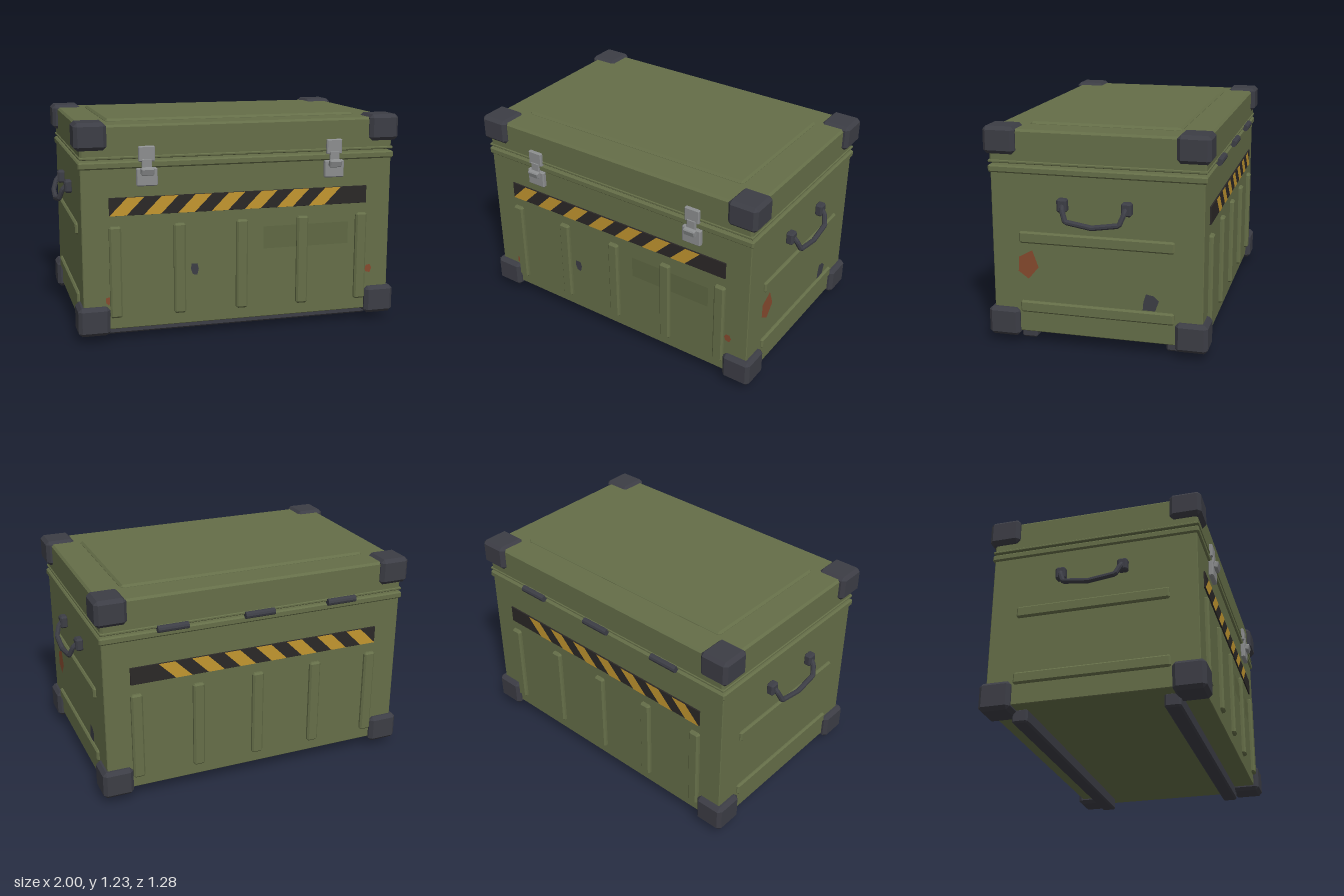
import * as THREE from 'three';
import { ConvexGeometry } from 'three/addons/geometries/ConvexGeometry.js';

const paint = (color, side = THREE.FrontSide) =>
  new THREE.MeshStandardMaterial({ color, side, flatShading: true });
const olive = paint(0x656e48), dark = paint(0x3c3d45), metal = paint(0x8c8e8f), black = paint(0x2b2827);
const yellow = paint(0xc2962f, THREE.DoubleSide), rust = paint(0x864a2e, THREE.DoubleSide);
const chip = paint(0x3c3d45, THREE.DoubleSide), faded = paint(0x5f6843, THREE.DoubleSide);

const CZ = -0.009; // depth centre of the case
const HX = 0.91, HZ = 0.591; // half size of the case

// Box with chamfered edges, given by its limits on each axis
function block(name, [x0, x1], [y0, y1], [z0, z1], c, material) {
  const half = [(x1 - x0) / 2, (y1 - y0) / 2, (z1 - z0) / 2];
  const points = [];
  for (const sx of [-1, 1]) for (const sy of [-1, 1]) for (const sz of [-1, 1]) {
    for (let full = 0; full < 3; full++) {
      const p = half.map((h, i) => (i === full ? h : h - c));
      points.push(new THREE.Vector3(p[0] * sx, p[1] * sy, p[2] * sz));
    }
  }
  const mesh = new THREE.Mesh(new ConvexGeometry(points), material);
  mesh.position.set((x0 + x1) / 2, (y0 + y1) / 2, (z0 + z1) / 2);
  mesh.name = name;
  return mesh;
}

const span = (centre, half) => [centre - half, centre + half];
const side = (s, a, b, centre = 0) => [centre + s * a, centre + s * b].sort((p, q) => p - q);

// Flat painted patch
function patch(name, corners, material) {
  const shape = new THREE.Shape(corners.map(([x, y]) => new THREE.Vector2(x, y)));
  const mesh = new THREE.Mesh(new THREE.ShapeGeometry(shape), material);
  mesh.name = name;
  return mesh;
}

function buildHandle(s) {
  const handle = new THREE.Group();
  handle.name = s > 0 ? 'leftHandle' : 'rightHandle';
  for (const e of [-1, 1]) {
    handle.add(block('handleMount', side(s, 0.905, 0.952), [0.785, 0.86], span(CZ + e * 0.178, 0.029), 0.01, dark));
  }
  const grip = [[0.94, 0.825, 0.175], [0.962, 0.8, 0.17], [0.98, 0.745, 0.148], [0.985, 0.723, 0],
    [0.98, 0.745, -0.148], [0.962, 0.8, -0.17], [0.94, 0.825, -0.175]]
    .map(([x, y, z]) => new THREE.Vector3(s * x, y, CZ + z));
  const path = new THREE.CurvePath();
  for (let i = 1; i < grip.length; i++) path.add(new THREE.LineCurve3(grip[i - 1], grip[i]));
  const bar = new THREE.Mesh(new THREE.TubeGeometry(path, 48, 0.015, 8), dark);
  bar.name = 'handleBar';
  handle.add(bar);
  return handle;
}

function buildLatch(x) {
  const latch = new THREE.Group();
  latch.name = 'latch';
  latch.add(block('latchPlate', span(x, 0.059), [0.88, 0.98], [0.58, 0.61], 0.006, metal));
  latch.add(block('latchKeeper', span(x, 0.046), [1.015, 1.1], [0.58, 0.607], 0.005, metal));
  latch.add(block('latchHook', span(x, 0.028), [0.95, 1.03], [0.596, 0.611], 0.003, metal));
  const lever = block('latchLever', span(x, 0.037), [0.942, 0.985], [0.605, 0.635], 0.006, metal);
  lever.rotation.x = 0.3;
  latch.add(lever);
  return latch;
}

// Dark band with slanted yellow stripes
function buildHazardBand(s) {
  const band = new THREE.Group();
  band.name = s > 0 ? 'frontHazardBand' : 'backHazardBand';
  const face = CZ + s * (HZ + 0.008);
  band.add(block('bandBase', [-0.758, 0.758], [0.718, 0.82], side(s, HZ - 0.01, HZ + 0.008, CZ), 0.001, black));
  for (let i = 0; i < 7; i++) {
    const x = -0.758 + i * 0.193;
    const stripe = patch('bandStripe', [[x, 0.719], [x + 0.096, 0.719], [x + 0.196, 0.819], [x + 0.1, 0.819]], yellow);
    stripe.position.z = face + s * 0.002;
    band.add(stripe);
  }
  return band;
}

function buildWear() {
  const wear = new THREE.Group();
  wear.name = 'paintWear';
  const front = [
    ['frontChip', [[-0.295, 0.42], [-0.262, 0.42], [-0.253, 0.39], [-0.262, 0.353], [-0.288, 0.358], [-0.299, 0.39]], chip],
    ['frontRust', [[0.775, 0.34], [0.797, 0.34], [0.808, 0.318], [0.797, 0.292], [0.772, 0.297], [0.763, 0.32]], rust],
    ['frontRust', [[-0.785, 0.255], [-0.765, 0.26], [-0.757, 0.24], [-0.768, 0.212], [-0.784, 0.225]], rust],
    ['fadedPatch', [[0.13, 0.48], [0.65, 0.48], [0.65, 0.61], [0.13, 0.61]], faded],
  ];
  for (const [name, corners, material] of front) {
    const mesh = patch(name, corners, material);
    mesh.position.z = CZ + HZ + 0.003;
    wear.add(mesh);
  }
  const flank = [
    ['sideRust', [[-0.353, 0.55], [-0.318, 0.455], [-0.377, 0.384], [-0.435, 0.425], [-0.432, 0.507]], rust],
    ['sideChip', [[0.288, 0.353], [0.329, 0.346], [0.36, 0.318], [0.339, 0.26], [0.27, 0.26], [0.274, 0.305]], chip],
  ];
  for (const [name, corners, material] of flank) {
    const mesh = patch(name, corners, material);
    mesh.rotation.y = Math.PI / 2;
    mesh.position.x = HX + 0.004;
    wear.add(mesh);
  }
  return wear;
}

export function createModel() {
  const model = new THREE.Group();
  model.name = 'storageCase';

  // Body and lid with a narrow gap between them
  model.add(block('body', span(0, HX), [0.072, 1], span(CZ, HZ), 0.004, olive));
  model.add(block('bodyRim', span(0, 0.922), [0.978, 1.019], span(CZ, 0.603), 0.008, olive));
  model.add(block('lid', span(0, HX), [1.033, 1.218], span(CZ, 0.597), 0.012, olive));
  model.add(block('lidLip', span(0, 0.916), [1.031, 1.047], span(CZ, 0.602), 0.004, olive));
  model.add(block('lidPanel', span(0, 0.74), [1.205, 1.232], span(CZ - 0.005, 0.424), 0.012, olive));

  for (const sx of [-1, 1]) {
    // Corner guards, top and bottom
    for (const sz of [-1, 1]) {
      for (const y of [[0.044, 0.208], [1.083, 1.234]]) {
        model.add(block('cornerGuard', side(sx, 0.764, 0.942), y, side(sz, 0.442, 0.622, CZ), 0.02, dark));
      }
    }
    // Side rails, handles and latches
    for (const y of [0.222, 0.623]) {
      model.add(block('sideRail', side(sx, 0.9, 0.926), span(y, 0.033), span(CZ, 0.435), 0.009, olive));
    }
    model.add(buildHandle(sx), buildLatch(sx * 0.547));
  }

  for (const sz of [-1, 1]) {
    // Skids, ribs and hazard bands on front and back
    model.add(block('skid', span(0, 0.833), [0, 0.08], side(sz, 0.376, 0.466, CZ), 0.01, dark));
    for (let i = -2; i <= 2; i++) {
      model.add(block('rib', span(i * 0.364, 0.034), [0.14, 0.66], side(sz, 0.575, 0.614, CZ), 0.01, olive));
    }
    model.add(buildHazardBand(sz));
  }

  // Hinge barrels along the back
  for (const x of [-0.512, 0, 0.512]) {
    const hinge = new THREE.Mesh(new THREE.CylinderGeometry(0.02, 0.02, 0.178, 10), dark);
    hinge.name = 'hinge';
    hinge.rotation.z = Math.PI / 2;
    hinge.position.set(x, 1.028, -0.618);
    model.add(hinge);
  }

  model.add(buildWear());
  return model;
}
